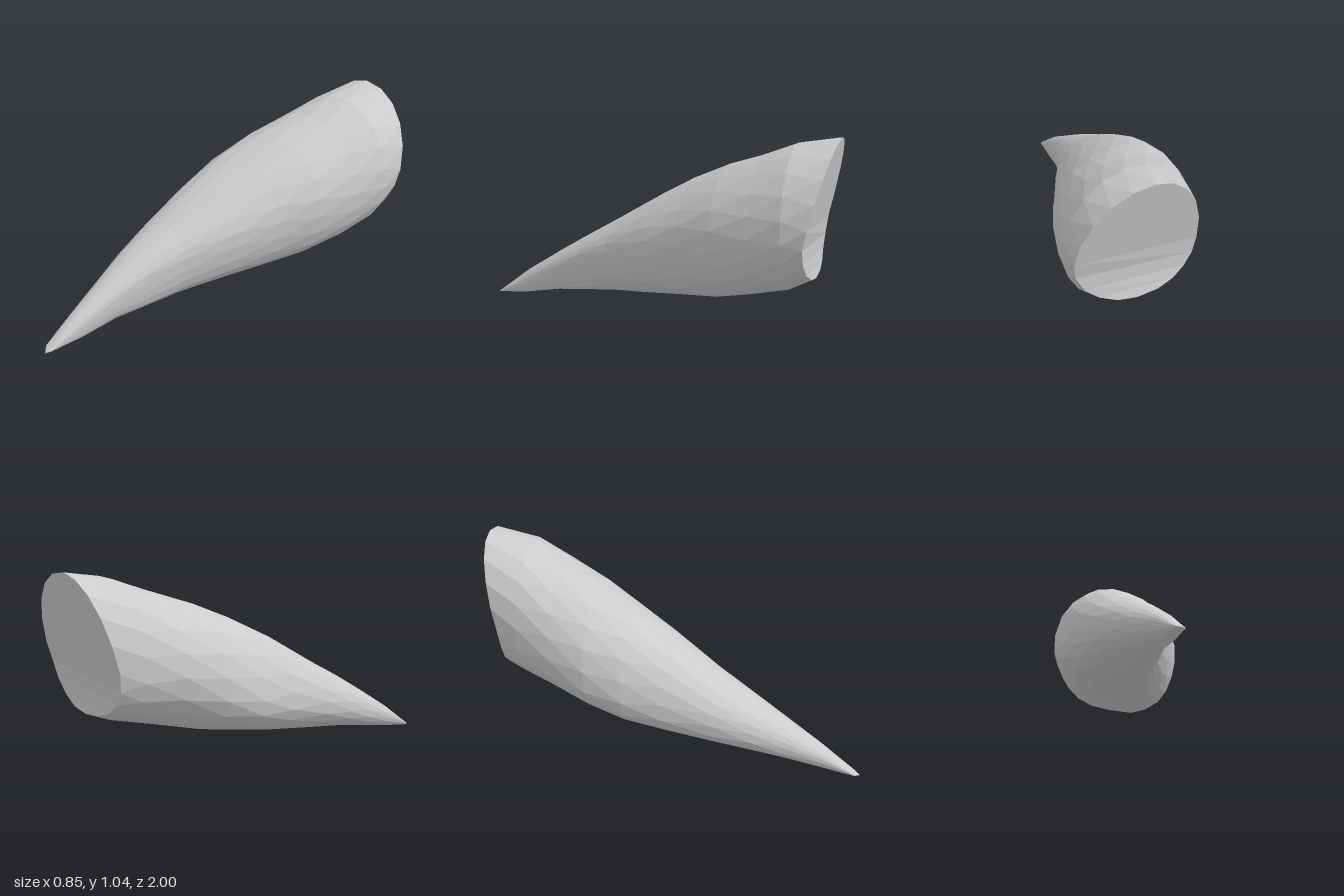
import * as THREE from 'three';

const SIDES = 20;

// Cross-sections from tip to root: z, then the right, top, left and bottom extremes as x, y
const SECTIONS = [
  [0.97, -0.235, 0.012, -0.26, 0.022, -0.288, 0.018, -0.25, 0.003],
  [0.8, -0.2, 0.1, -0.25, 0.152, -0.31, 0.1, -0.22, 0.025],
  [0.6, -0.15, 0.21, -0.24, 0.28, -0.345, 0.175, -0.2, 0.065],
  [0.45, -0.105, 0.28, -0.23, 0.373, -0.376, 0.23, -0.16, 0.088],
  [0.25, -0.025, 0.35, -0.21, 0.49, -0.405, 0.295, -0.13, 0.112],
  [0, 0.105, 0.42, -0.18, 0.645, -0.42, 0.345, -0.06, 0.142],
  [-0.2, 0.2, 0.48, -0.14, 0.755, -0.425, 0.385, 0.01, 0.168],
  [-0.4, 0.3, 0.53, -0.06, 0.85, -0.402, 0.465, 0.08, 0.197],
  [-0.6, 0.37, 0.57, 0.02, 0.922, -0.34, 0.55, 0.14, 0.245],
  [-0.78, 0.42, 0.62, 0.065, 0.997, -0.268, 0.6, 0.14, 0.288],
  [-0.9, 0.42, 0.64, 0.08, 1.038, -0.212, 0.59, 0.09, 0.338],
];

// The root is cut along a gently hollow slope
const CUT = [[0.33, -0.9], [0.42, -0.882], [0.55, -0.885], [0.7, -0.92], [1.035, -1]];
function cutZ(y) {
  for (let i = 1; i < CUT.length; i++) {
    const [y0, z0] = CUT[i - 1];
    const [y1, z1] = CUT[i];
    if (y <= y1) return z0 + (z1 - z0) * (y - y0) / (y1 - y0);
  }
  return -1;
}

// Four quarter-ellipses joined through the extremes; shift staggers the facets
function ring([z, xr, yr, xt, yt, xl, yl, xb, yb], shift, isRoot) {
  const points = [];
  for (let j = 0; j < SIDES; j++) {
    const a = (j + shift) / SIDES * Math.PI * 2;
    const c = Math.cos(a), s = Math.sin(a);
    const fullness = c < 0 && s < 0 ? 0.87 : 1; // squarer lower left
    const midX = s >= 0 ? xt : xb;
    const midY = c >= 0 ? yr : yl;
    const x = midX + ((c >= 0 ? xr : xl) - midX) * Math.abs(c) ** fullness;
    const y = midY + ((s >= 0 ? yt : yb) - midY) * Math.abs(s) ** fullness;
    points.push([x, y, isRoot ? cutZ(y) : z]);
  }
  return points;
}

// Separate corners per triangle give crisp facets
function facetMesh(name, triangles, material) {
  const geometry = new THREE.BufferGeometry();
  geometry.setAttribute('position', new THREE.Float32BufferAttribute(triangles.flat(2), 3));
  geometry.computeVertexNormals();
  const mesh = new THREE.Mesh(geometry, material);
  mesh.name = name;
  return mesh;
}

export function createModel() {
  const group = new THREE.Group();
  group.name = 'claw';
  const horn = new THREE.MeshStandardMaterial({ color: 0xcccccc });
  horn.name = 'pale grey horn';

  const last = SECTIONS.length - 1;
  const rings = SECTIONS.map((s, i) => ring(s, i % 2 ? 0.5 : 0, i === last));

  // Pointed tip
  const body = [];
  const tip = [-0.255, 0, 1];
  for (let j = 0; j < SIDES; j++) {
    body.push([tip, rings[0][j], rings[0][(j + 1) % SIDES]]);
  }

  // Tapering body in staggered triangles
  for (let i = 0; i < last; i++) {
    const a = rings[i], b = rings[i + 1];
    for (let j = 0; j < SIDES; j++) {
      const k = (j + 1) % SIDES;
      if (i % 2) body.push([a[j], b[j], b[k]], [a[j], b[k], a[k]]);
      else body.push([a[j], b[j], a[k]], [a[k], b[j], b[k]]);
    }
  }
  group.add(facetMesh('clawBody', body, horn));

  // Root face, closed from bottom to top with strips running side to side
  const cap = [];
  const quarter = SIDES / 4;
  const rim = (k) => rings[last][(k + SIDES) % SIDES];
  for (let k = -quarter; k < quarter; k++) {
    const right = rim(k), rightUp = rim(k + 1);
    const left = rim(2 * quarter - k), leftUp = rim(2 * quarter - k - 1);
    if (k > -quarter) cap.push([right, left, rightUp]);
    if (k < quarter - 1) cap.push([rightUp, left, leftUp]);
  }
  group.add(facetMesh('rootFace', cap, horn));
  return group;
}
